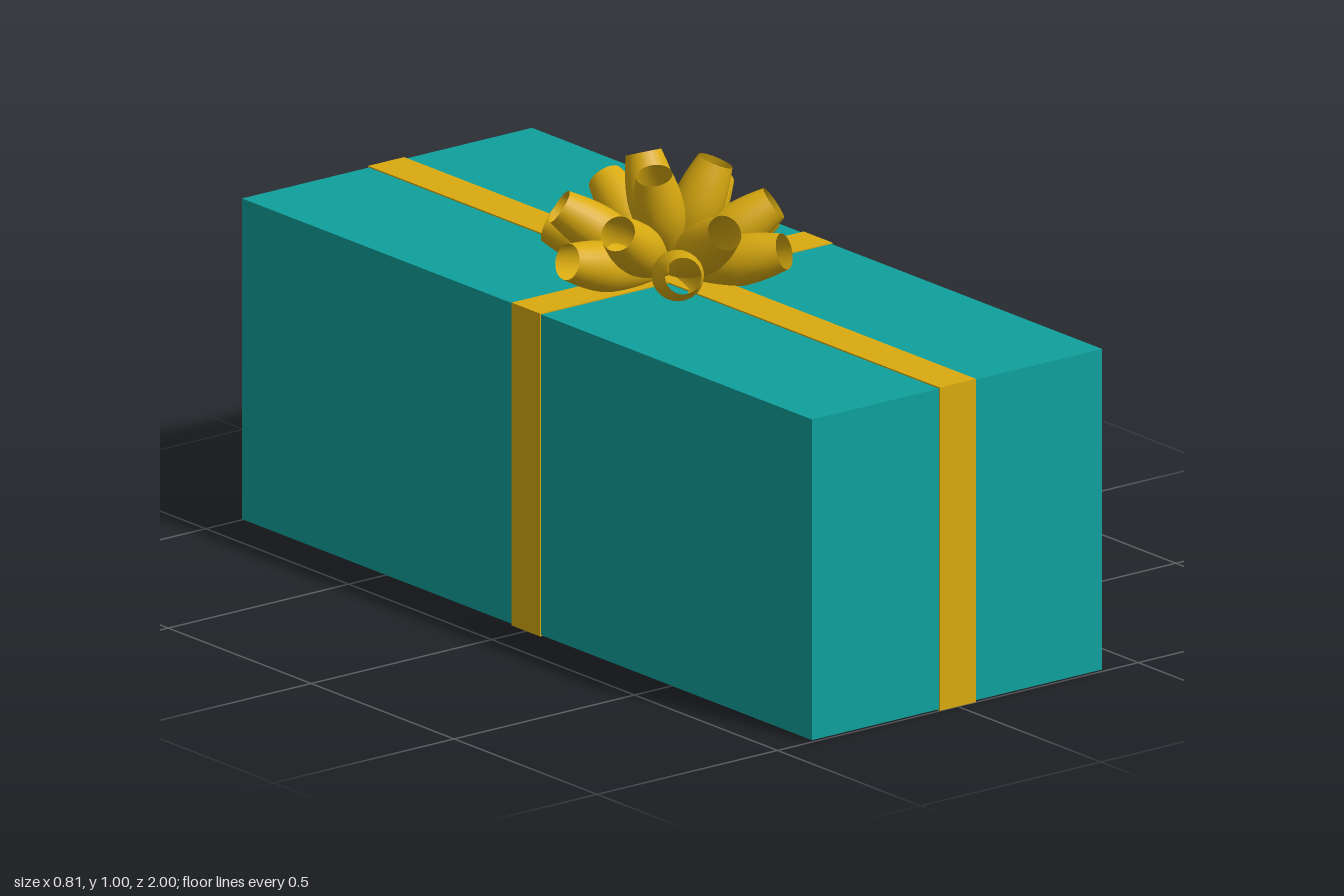
import * as THREE from 'three';

const teal = new THREE.MeshStandardMaterial({ color: 0x0fa09d });
const gold = new THREE.MeshStandardMaterial({ color: 0xd9aa10 });
const goldOpen = new THREE.MeshStandardMaterial({ color: 0xd9aa10, side: THREE.DoubleSide });

const TOP = 0.738; // upper face of the ribbon

function addBox(group, name, w, h, d, y, material) {
  const mesh = new THREE.Mesh(new THREE.BoxGeometry(w, h, d), material);
  mesh.name = name;
  mesh.position.y = y;
  group.add(mesh);
}

// Open-ended bulging tube of unit length along +y, pinched at its base
function loopGeometry() {
  const profile = new THREE.SplineCurve([
    [0.002, 0], [0.026, 0.2], [0.047, 0.42], [0.056, 0.6], [0.052, 0.8], [0.04, 1],
  ].map(([r, y]) => new THREE.Vector2(r, y)));
  return new THREE.LatheGeometry(profile.getPoints(14), 24);
}

export function createModel() {
  const model = new THREE.Group();
  model.name = 'giftBox';

  // Wrapped box with two crossing ribbons standing slightly proud of it
  addBox(model, 'box', 0.804, 0.732, 1.994, TOP / 2, teal);
  addBox(model, 'lengthRibbon', 0.1, TOP, 2, TOP / 2, gold);
  addBox(model, 'crossRibbon', 0.81, TOP - 0.001, 0.1, TOP / 2, gold);

  // Bow: loops radiating from the ribbon crossing, given by their tip centres
  const bow = new THREE.Group();
  bow.name = 'bow';
  bow.position.set(-0.01, TOP - 0.003, 0);
  const tips = [
    // low ring
    [-0.29, 0.82, 0], [0.265, 0.82, 0],
    [-0.155, 0.82, 0.235], [0.125, 0.82, 0.235],
    [-0.155, 0.82, -0.235], [0.125, 0.82, -0.235],
    // middle ring
    [-0.225, 0.895, 0.095], [-0.04, 0.895, 0.235], [0.175, 0.895, 0.135],
    [0.2, 0.895, -0.095], [0, 0.895, -0.235], [-0.205, 0.895, -0.135],
    // crown
    [-0.085, 0.987, 0.045], [0.085, 0.987, 0.045], [0, 0.987, -0.1],
  ];
  const geometry = loopGeometry();
  const up = new THREE.Vector3(0, 1, 0);
  for (const tip of tips) {
    const axis = new THREE.Vector3(...tip).sub(bow.position);
    const loop = new THREE.Mesh(geometry, goldOpen);
    loop.name = 'bowLoop';
    loop.scale.y = axis.length();
    loop.quaternion.setFromUnitVectors(up, axis.normalize());
    bow.add(loop);
  }
  model.add(bow);
  return model;
}
